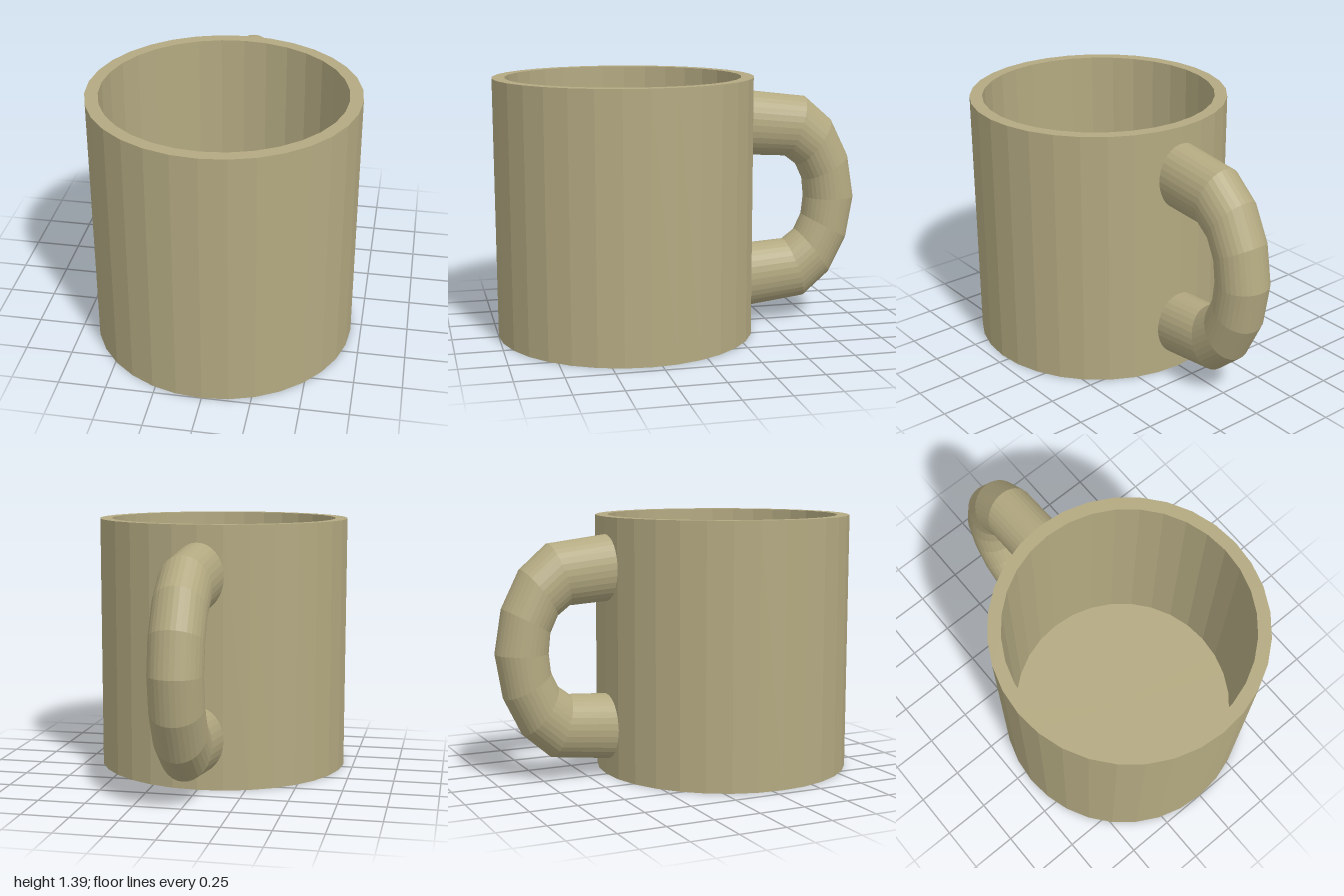
import * as THREE from 'three';

const CENTRE_Z = 0.305, HEIGHT = 1.39, SIDES = 32;

// Skin of quads over a list of closed rings, with flat normals
function loft(rings) {
  const n = rings[0].length, index = [];
  for (let i = 0; i < rings.length - 1; i++) {
    for (let j = 0; j < n; j++) {
      const k = (j + 1) % n;
      const a = i * n + j, b = i * n + k, c = a + n, d = b + n;
      index.push(a, b, c, b, d, c);
    }
  }
  const indexed = new THREE.BufferGeometry().setFromPoints(rings.flat());
  indexed.setIndex(index);
  const geometry = indexed.toNonIndexed();
  geometry.computeVertexNormals();
  return geometry;
}

export function createModel() {
  const model = new THREE.Group();
  model.name = 'mug';
  const material = new THREE.MeshStandardMaterial({ color: 0xb3a981, flatShading: true });

  // Cup: closed bottom, straight outer wall, flat rim, inner wall and floor
  const profile = [[0, 0], [0.695, 0], [0.695, HEIGHT], [0.628, HEIGHT], [0.628, 0.07], [0, 0.07]]
    .map(([r, y]) => new THREE.Vector2(r, y));
  const cupGeometry = new THREE.LatheGeometry(profile, SIDES).toNonIndexed();
  cupGeometry.computeVertexNormals();
  const cup = new THREE.Mesh(cupGeometry, material);
  cup.name = 'cup';
  cup.position.z = CENTRE_Z;
  model.add(cup);

  // Handle: upper half as outer z, y and inner z, y; the lower half mirrors it
  const upper = [
    [-0.35, 1.304, -0.35, 0.947],
    [-0.71, 1.26, -0.60, 0.932],
    [-0.86, 1.13, -0.67, 0.88],
    [-0.96, 0.93, -0.71, 0.795],
  ];
  const mid = HEIGHT / 2;
  const lower = upper.map(([oz, oy, iz, iy]) => [oz, HEIGHT - oy, iz, HEIGHT - iy]).reverse();
  const sections = [...upper, [-1, mid, -0.72, mid], ...lower];
  const rings = sections.map(([oz, oy, iz, iy]) => {
    const ring = [];
    for (let j = 0; j < SIDES; j++) {
      const a = (j / SIDES) * Math.PI * 2, t = (1 + Math.cos(a)) / 2;
      ring.push(new THREE.Vector3(0.139 * Math.sin(a), iy + (oy - iy) * t, iz + (oz - iz) * t));
    }
    return ring;
  });
  const handle = new THREE.Mesh(loft(rings), material);
  handle.name = 'handle';
  model.add(handle);

  return model;
}
